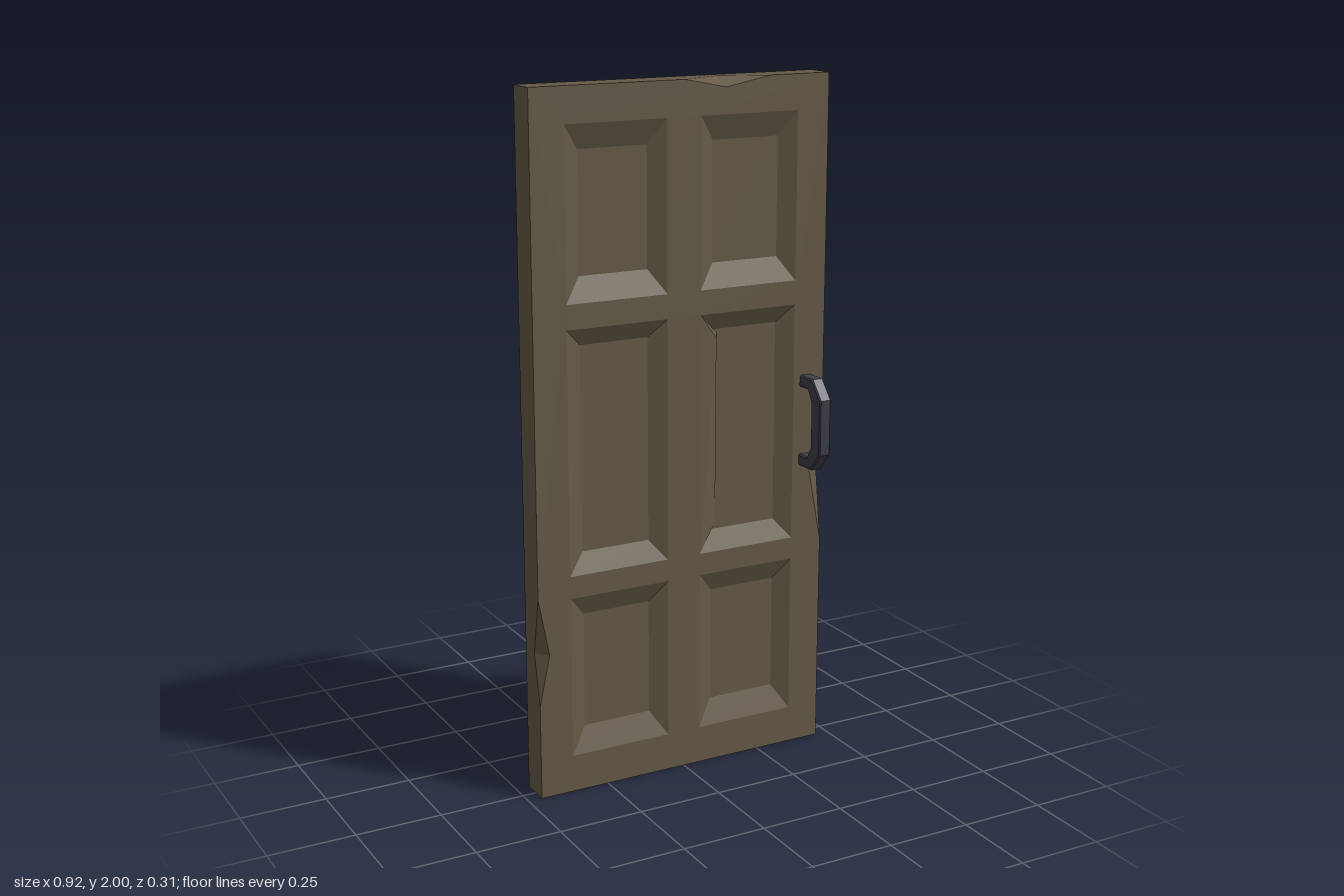
import * as THREE from 'three';

const W = 0.46, H = 2, FRONT = 0.042, BACK = -0.047, DEPTH = 0.025;

// Collects flat faces, each wound to face its outward direction
class Faces {
  constructor() { this.pos = []; }
  tri(a, b, c, out) {
    const [A, B, C] = [a, b, c].map(p => new THREE.Vector3(...p));
    const n = B.clone().sub(A).cross(C.clone().sub(A));
    const pts = n.dot(new THREE.Vector3(...out)) < 0 ? [a, c, b] : [a, b, c];
    pts.forEach(p => this.pos.push(...p));
  }
  // planar polygon (with holes) facing along one axis
  poly(contour, out, holes = []) {
    const [u, v] = [0, 1, 2].filter(i => out[i] === 0);
    const flat = ring => ring.map(p => new THREE.Vector2(p[u], p[v]));
    const ring = contour.slice(), hs = holes.map(h => h.slice());
    if (THREE.ShapeUtils.isClockWise(flat(ring))) ring.reverse();
    hs.forEach(h => { if (!THREE.ShapeUtils.isClockWise(flat(h))) h.reverse(); });
    const all = ring.concat(...hs);
    for (const [a, b, c] of THREE.ShapeUtils.triangulateShape(flat(ring), hs.map(flat)))
      this.tri(all[a], all[b], all[c], out);
  }
  quad(a, b, c, d, out) { this.tri(a, b, c, out); this.tri(a, c, d, out); }
  mesh(name, material) {
    const g = new THREE.BufferGeometry();
    g.setAttribute('position', new THREE.Float32BufferAttribute(this.pos, 3));
    g.computeVertexNormals();
    const m = new THREE.Mesh(g, material);
    m.name = name;
    return m;
  }
}

const rect = (x0, x1, y0, y1, z) => [[x0, y0, z], [x1, y0, z], [x1, y1, z], [x0, y1, z]];

// Chipped edges: start, bite on the face, end, bite on the edge
const chips = {
  top: [[0, H, FRONT], [0.13, 1.974, FRONT], [0.27, H, FRONT], [0.125, H, -0.01]],
  leftFront: [[W, 0.63, FRONT], [0.412, 0.88, FRONT], [W, 1.0, FRONT], [W, 0.89, 0.008]],
  leftBack: [[W, 1.15, BACK], [0.435, 1.27, BACK], [W, 1.38, BACK], [W, 1.28, -0.015]],
  rightFront: [[-W, 0.6, FRONT], [-0.428, 0.43, FRONT], [-W, 0.28, FRONT], [-W, 0.43, 0.01]],
};
const onFace = c => c.slice(0, 3);
const onEdge = c => [c[0], c[3], c[2]];

// Panel rows: outer bottom, outer top, inner bottom, inner top
const rows = [[0.11, 0.585, 0.185, 0.525], [0.65, 1.35, 0.71, 1.3], [1.42, 1.9, 1.49, 1.83]];

function buildDoor(wood) {
  const f = new Faces();
  const { top, leftFront, leftBack, rightFront } = chips;

  // Front and back frames with six sunken panels each
  const corner = (x, y, z) => [x, y, z];
  const frames = [
    [FRONT, 1, [corner(-W, 0, FRONT), corner(W, 0, FRONT), ...onFace(leftFront), corner(W, H, FRONT),
      ...onFace(top).reverse(), corner(-W, H, FRONT), ...onFace(rightFront)]],
    [BACK, -1, [corner(-W, 0, BACK), corner(W, 0, BACK), ...onFace(leftBack), corner(W, H, BACK), corner(-W, H, BACK)]],
  ];
  for (const [z, s, outline] of frames) {
    const holes = [], out = [0, 0, s], floor = z - s * DEPTH;
    for (const [y0, y1, iy0, iy1] of rows) for (const [x0, x1] of [[-0.36, -0.052], [0.052, 0.36]]) {
      const outer = rect(x0, x1, y0, y1, z), inner = rect(x0 + 0.05, x1 - 0.05, iy0, iy1, floor);
      holes.push(outer);
      f.poly(inner, out);
      for (let i = 0; i < 4; i++) {
        const j = (i + 1) % 4;
        f.quad(outer[i], outer[j], inner[j], inner[i], out);
      }
    }
    f.poly(outline, out, holes);
  }

  // Door edges
  f.poly([[W, 0, FRONT], ...onEdge(leftFront), [W, H, FRONT], [W, H, BACK],
    ...onEdge(leftBack).reverse(), [W, 0, BACK]], [1, 0, 0]);
  f.poly([[-W, 0, BACK], [-W, H, BACK], [-W, H, FRONT], ...onEdge(rightFront), [-W, 0, FRONT]], [-1, 0, 0]);
  f.poly([[-W, H, FRONT], ...onEdge(top), [W, H, FRONT], [W, H, BACK], [-W, H, BACK]], [0, 1, 0]);
  f.poly([[-W, 0, FRONT], [W, 0, FRONT], [W, 0, BACK], [-W, 0, BACK]], [0, -1, 0]);

  // Facets inside the chips
  for (const [c, out] of [[top, [0, 1, 1]], [leftFront, [1, 0, 1]], [leftBack, [1, 0, -1]], [rightFront, [-1, 0, 1]]]) {
    f.tri(c[0], c[1], c[3], out);
    f.tri(c[1], c[2], c[3], out);
  }
  return f.mesh('panelledDoor', wood);
}

// Split wood beside a panel; s = -1 turns it round to the back
function buildSplinter(name, s, z, y0, y1, iy0, iy1, wood) {
  const f = new Faces();
  const p = (x, y, d) => [s * x, y, z - s * d];
  const topOuter = p(0.052, y1, 0), bottomOuter = p(0.052, y0, 0);
  const ridge = p(0.104, iy1 - 0.02, 0.002), foot = p(0.117, iy1 - 0.01, DEPTH), tail = p(0.115, iy0 + 0.02, DEPTH - 0.001);
  f.tri(topOuter, bottomOuter, ridge, [0, 0, s]);
  f.tri(bottomOuter, tail, ridge, [0, 0, s]);
  f.tri(ridge, tail, foot, [s, 0, 0]);
  f.tri(topOuter, ridge, foot, [0, 0.5, s]);
  return f.mesh(name, wood);
}

// Raised, warped corner of the lower back panel
function buildWarp(wood) {
  const f = new Faces(), peak = [-0.052, 0.585, -0.063];
  const ring = [[-0.36, 0.585, BACK], [-0.052, 0.64, BACK], [0, 0.585, BACK], [-0.052, 0.17, BACK], [-0.102, 0.525, BACK + DEPTH]];
  ring.forEach((a, i) => f.tri(peak, a, ring[(i + 1) % ring.length], [0, 0, -1]));
  return f.mesh('warpedCorner', wood);
}

// Angular pull handle, its profile drawn outward from the door
function buildHandle(name, side, iron) {
  const pts = [[0.03, 1.136], [0.107, 1.136], [0.15, 1.085], [0.15, 0.925], [0.107, 0.874], [0.03, 0.874],
    [0.03, 0.9], [0.088, 0.9], [0.11, 0.938], [0.11, 1.072], [0.088, 1.11], [0.03, 1.11]];
  const shape = new THREE.Shape(pts.map(p => new THREE.Vector2(...p)));
  const g = new THREE.ExtrudeGeometry(shape, { depth: 0.03, bevelEnabled: true, bevelSize: 0.004, bevelThickness: 0.004, bevelSegments: 1 });
  g.translate(0, 0, -0.015).rotateY(-side * Math.PI / 2).translate(0.4, 0, -0.002);
  const m = new THREE.Mesh(g, iron);
  m.name = name;
  return m;
}

export function createModel() {
  const wood = new THREE.MeshStandardMaterial({ color: 0x665b48 });
  wood.name = 'brown wood';
  const iron = new THREE.MeshStandardMaterial({ color: 0x3e3e49 });
  iron.name = 'dark iron';
  wood.flatShading = iron.flatShading = true;

  const door = new THREE.Group();
  door.name = 'door';
  door.add(
    buildDoor(wood),
    buildSplinter('frontSplinter', 1, FRONT, ...rows[1], wood),
    buildSplinter('backSplinter', -1, BACK, ...rows[2], wood),
    buildWarp(wood),
    buildHandle('frontHandle', 1, iron),
    buildHandle('backHandle', -1, iron),
  );
  return door;
}
